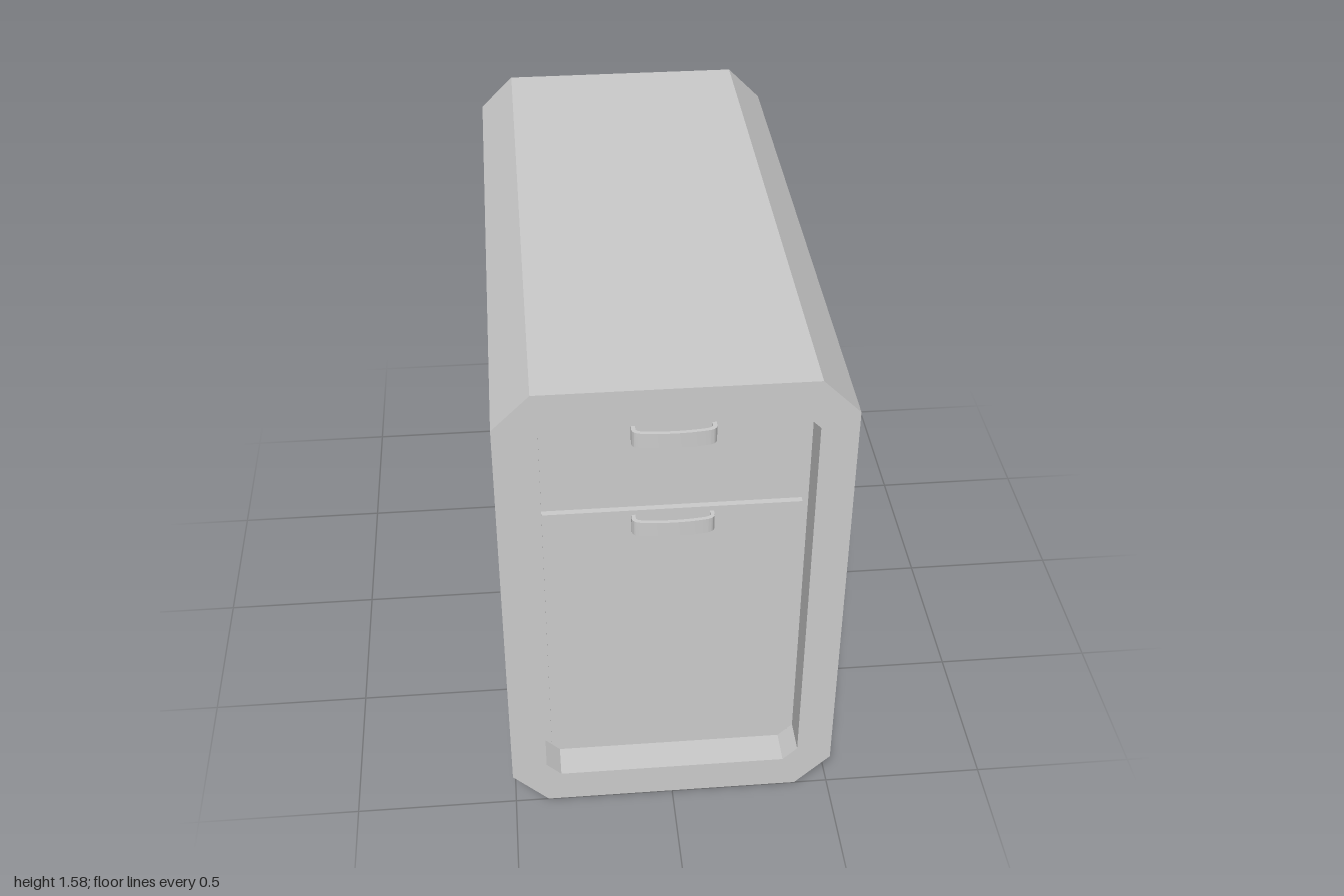
import * as THREE from 'three';
import { toCreasedNormals } from 'three/addons/utils/BufferGeometryUtils.js';

const H = 1.577, MID = H / 2;
const material = new THREE.MeshStandardMaterial({ color: 0xcccccc });

// Corner points of a rectangle with cut corners, centred on the cabinet axis
function octagon(hw, hh, c) {
  return [
    [-hw + c, -hh], [hw - c, -hh], [hw, -hh + c], [hw, hh - c],
    [hw - c, hh], [-hw + c, hh], [-hw, hh - c], [-hw, -hh + c],
  ].map(([x, y]) => new THREE.Vector2(x, y + MID));
}

function extrude(shape, depth) {
  return new THREE.ExtrudeGeometry(shape, { depth, bevelEnabled: false, curveSegments: 12 });
}

function add(parent, name, geometry, x = 0, y = 0, z = 0) {
  const mesh = new THREE.Mesh(geometry, material);
  mesh.name = name;
  mesh.position.set(x, y, z);
  parent.add(mesh);
  return mesh;
}

// Bowed grip seen from above: outer curve out, inner curve back
function handleGeometry(height) {
  const s = new THREE.Shape();
  s.moveTo(-0.12, 0);
  s.lineTo(-0.12, 0.018);
  s.quadraticCurveTo(-0.118, 0.034, -0.095, 0.038);
  s.quadraticCurveTo(0, 0.052, 0.095, 0.038);
  s.quadraticCurveTo(0.118, 0.034, 0.12, 0.018);
  s.lineTo(0.12, 0);
  s.lineTo(0.108, 0);
  s.lineTo(0.108, 0.016);
  s.quadraticCurveTo(0.107, 0.024, 0.092, 0.027);
  s.quadraticCurveTo(0, 0.04, -0.092, 0.027);
  s.quadraticCurveTo(-0.107, 0.024, -0.108, 0.016);
  s.lineTo(-0.108, 0);
  s.closePath();
  // Stand the extrusion upright with the bow pointing to +z
  const g = extrude(s, height).rotateX(Math.PI / 2).translate(0, height / 2, 0);
  return toCreasedNormals(g, 0.7);
}

export function createModel() {
  const model = new THREE.Group();
  model.name = 'drawerCabinet';

  // Outer shell: thick tube with cut corners
  const shell = new THREE.Shape(octagon(0.506, MID, 0.11));
  shell.holes.push(new THREE.Path(octagon(0.398, 0.677, 0.045).reverse()));
  add(model, 'shell', extrude(shell, 2), 0, 0, -1);

  // Core filling the tube, recessed at front and back
  const frontZ = 0.895, backZ = -0.94;
  const core = new THREE.Shape(octagon(0.398, 0.677, 0.045));
  add(model, 'core', extrude(core, frontZ - backZ), 0, 0, backZ);

  // Drawer fronts with handles
  const thickness = 0.02;
  const drawers = [
    { name: 'upperDrawer', bottom: 1.112, top: 1.422, handleY: 1.373 },
    { name: 'lowerDrawer', bottom: 0.157, top: 1.097, handleY: 1.056 },
  ];
  for (const d of drawers) {
    const drawer = new THREE.Group();
    drawer.name = d.name;
    const panel = new THREE.BoxGeometry(0.756, d.top - d.bottom, thickness);
    add(drawer, 'drawerFront', panel, 0, (d.top + d.bottom) / 2, frontZ + thickness / 2);
    add(drawer, 'handle', handleGeometry(0.05), 0, d.handleY, frontZ + thickness);
    model.add(drawer);
  }
  return model;
}
